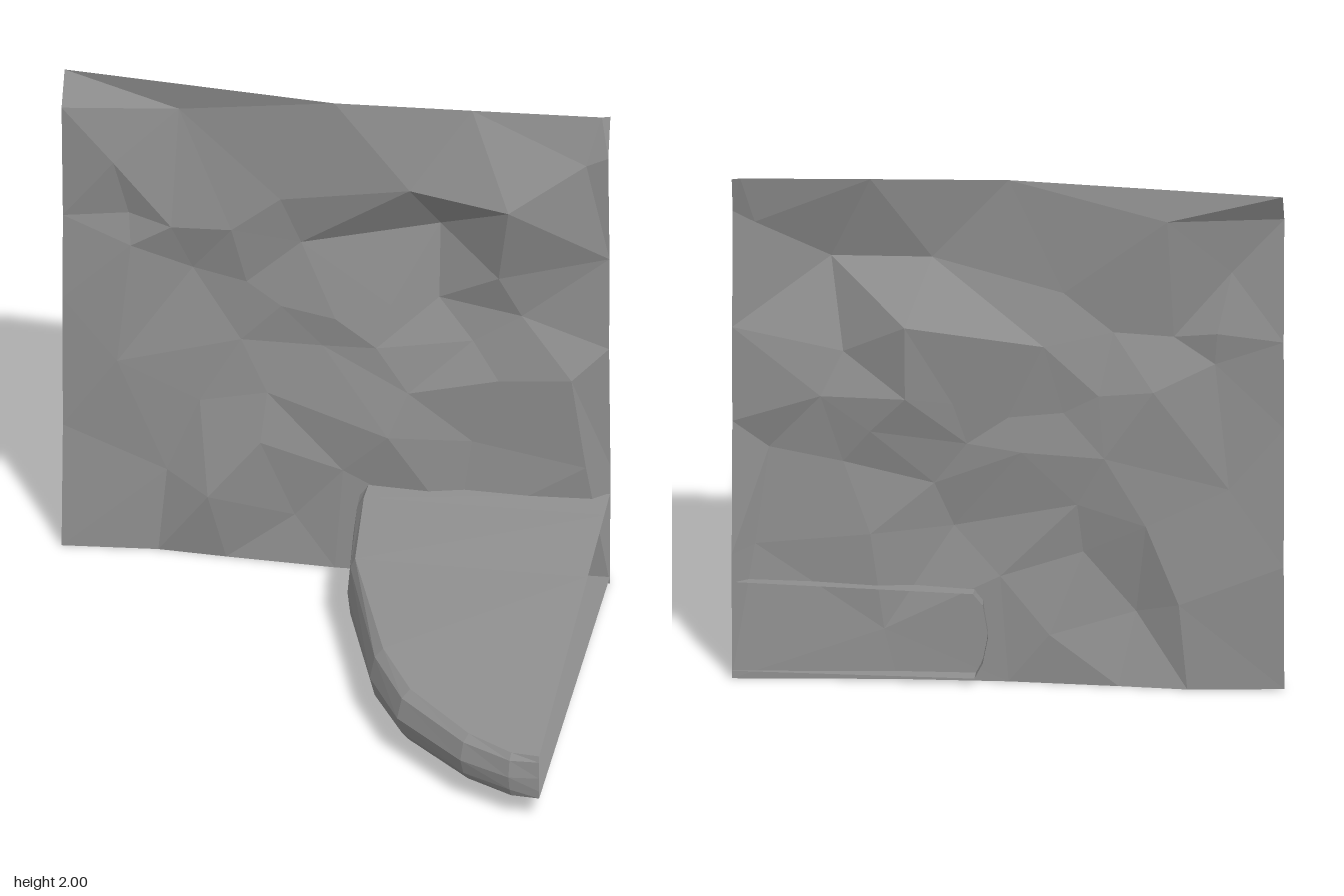
import * as THREE from 'three';

// Flat-shaded mesh from a list of triangles, each three Vector3
function facets(triangles, material, name) {
  const geo = new THREE.BufferGeometry().setFromPoints(triangles.flat());
  geo.computeVertexNormals();
  const mesh = new THREE.Mesh(geo, material);
  mesh.name = name;
  return mesh;
}

// Peaks and hollows inside the rock face: x, y, z
const ROCK = [
  [-0.58, 1.88, -0.79], [-0.81, 1.66, -0.73], [-0.6, 1.4, -0.74], [-0.76, 1.43, -0.77],
  [-0.38, 1.41, -0.74], [-0.53, 1.2, -0.8], [-0.33, 1.17, -0.78], [-0.75, 1.3, -0.75],
  [-0.13, 1.36, -0.78], [-0.2, 1.56, -0.74], [0.28, 1.67, -0.7], [0.65, 1.64, -0.65],
  [0.37, 1.45, -0.85], [0.37, 1.15, -0.82], [0.6, 1.3, -0.74], [0.92, 1.81, -0.75],
  [-0.2, 1.09, -0.76], [0, 1.06, -0.75], [0.2, 1.12, -0.78], [0.15, 0.95, -0.75],
  [0.5, 1.0, -0.78], [0.68, 1.13, -0.77], [0.27, 0.78, -0.73], [0.6, 0.86, -0.74],
  [0.87, 0.9, -0.72], [0.92, 0.52, -0.74], [-0.05, 0.93, -0.77], [-0.35, 0.92, -0.78],
  [-0.25, 0.72, -0.75], [-0.27, 0.52, -0.72], [-0.46, 0.28, -0.7], [-0.62, 0.34, -0.77],
  [-0.5, 0.65, -0.77], [0.03, 0.42, -0.74], [0.2, 0.6, -0.7], [0.5, 0.58, -0.76],
  [0.45, 0.2, -0.75], [-0.8, 0.8, -0.75], [-0.15, 0.2, -0.76],
];
// Straight outer edges of the rock face
const EDGE = [
  [-1, 2, -0.8], [0, 2, -0.73], [0.5, 2, -0.76], [0.97, 2, -0.79], [1, 2, -0.8],
  [1, 1.85, -0.75], [1, 1.4, -0.78], [1, 1.02, -0.77], [1, 0.5, -0.8], [1, 0, -0.79],
  [0.4, 0, -0.75], [0, 0, -0.74], [-0.4, 0, -0.75], [-0.65, 0, -0.76], [-1, 0, -0.73],
  [-1, 0.5, -0.76], [-1, 1.05, -0.75], [-1, 1.4, -0.76], [-1, 1.88, -0.73],
];

// Join the points by the empty-circle rule, seen from the front
function rockWall(material) {
  const pts = [...ROCK, ...EDGE].map(p => new THREE.Vector3(...p));
  const triangles = [];
  for (let i = 0; i < pts.length; i++) {
    for (let j = i + 1; j < pts.length; j++) {
      for (let k = j + 1; k < pts.length; k++) {
        const a = pts[i], b = pts[j], c = pts[k];
        const bx = b.x - a.x, by = b.y - a.y, cx = c.x - a.x, cy = c.y - a.y;
        const d = 2 * (bx * cy - by * cx);
        if (Math.abs(d) < 1e-6) continue;
        const bb = bx * bx + by * by, cc = cx * cx + cy * cy;
        const ux = (cy * bb - by * cc) / d, uy = (bx * cc - cx * bb) / d;
        const r = ux * ux + uy * uy - 1e-9;
        if (pts.some(p => p !== a && p !== b && p !== c
          && (p.x - a.x - ux) ** 2 + (p.y - a.y - uy) ** 2 < r)) continue;
        triangles.push(d > 0 ? [a, b, c] : [a, c, b]);
      }
    }
  }
  return facets(triangles, material, 'rockWall');
}

// Hollow curved ledge, open at the side and back
function ledge(material) {
  const path = [[0.07, -0.79], [0.08, -0.66], [0.12, -0.28], [0.29, 0.27], [0.43, 0.52],
    [0.7, 0.76], [0.89, 0.845], [1, 0.835]];
  // Rounded rim: inset from the outline, height fraction
  const rim = [[0.055, 1], [0.02, 0.87], [0, 0.5], [0.02, 0.18], [0.05, 0]];
  // How far the rim is rounded at each path point
  const round = [1, 0.7, 0.5, 0.9, 1, 0.8, 0.5, 0.15];
  const end = path.length - 1;
  const rows = path.map(([x, z], i) => {
    const [x0, z0] = path[Math.max(i - 1, 0)];
    const [x1, z1] = path[Math.min(i + 1, end)];
    const inward = new THREE.Vector2(z1 - z0, x0 - x1).normalize();
    if (i === 0) inward.set(1, 0);
    if (i === end) inward.set(0, -1);
    const at = (px, pz, f) => {
      const t = (pz + 0.79) / 1.62;
      const top = 0.385 - 0.105 * t - 0.02 * (1 - px) * (1 - t);
      const bottom = 0.03 + 0.07 * t;
      return new THREE.Vector3(px, bottom + (top - bottom) * f, pz);
    };
    const inner = Math.min(z, 0.81);
    return [
      at(1, inner, 1),
      ...rim.map(([d, f]) => at(x + inward.x * d * round[i], z + inward.y * d * round[i], f)),
      at(1, inner, 0),
    ];
  });
  const triangles = [];
  for (let i = 0; i < end; i++) {
    for (let k = 0; k < rows[i].length - 1; k++) {
      const a = rows[i][k], b = rows[i][k + 1], c = rows[i + 1][k + 1], d = rows[i + 1][k];
      triangles.push([a, b, c], [a, c, d]);
    }
  }
  return facets(triangles, material, 'ledge');
}

export function createModel() {
  const stone = new THREE.MeshStandardMaterial({ color: 0x8f8f8f, flatShading: true, side: THREE.DoubleSide });
  stone.name = 'grey stone';
  const group = new THREE.Group();
  group.name = 'rockWallWithLedge';
  group.add(rockWall(stone), ledge(stone));
  return group;
}
